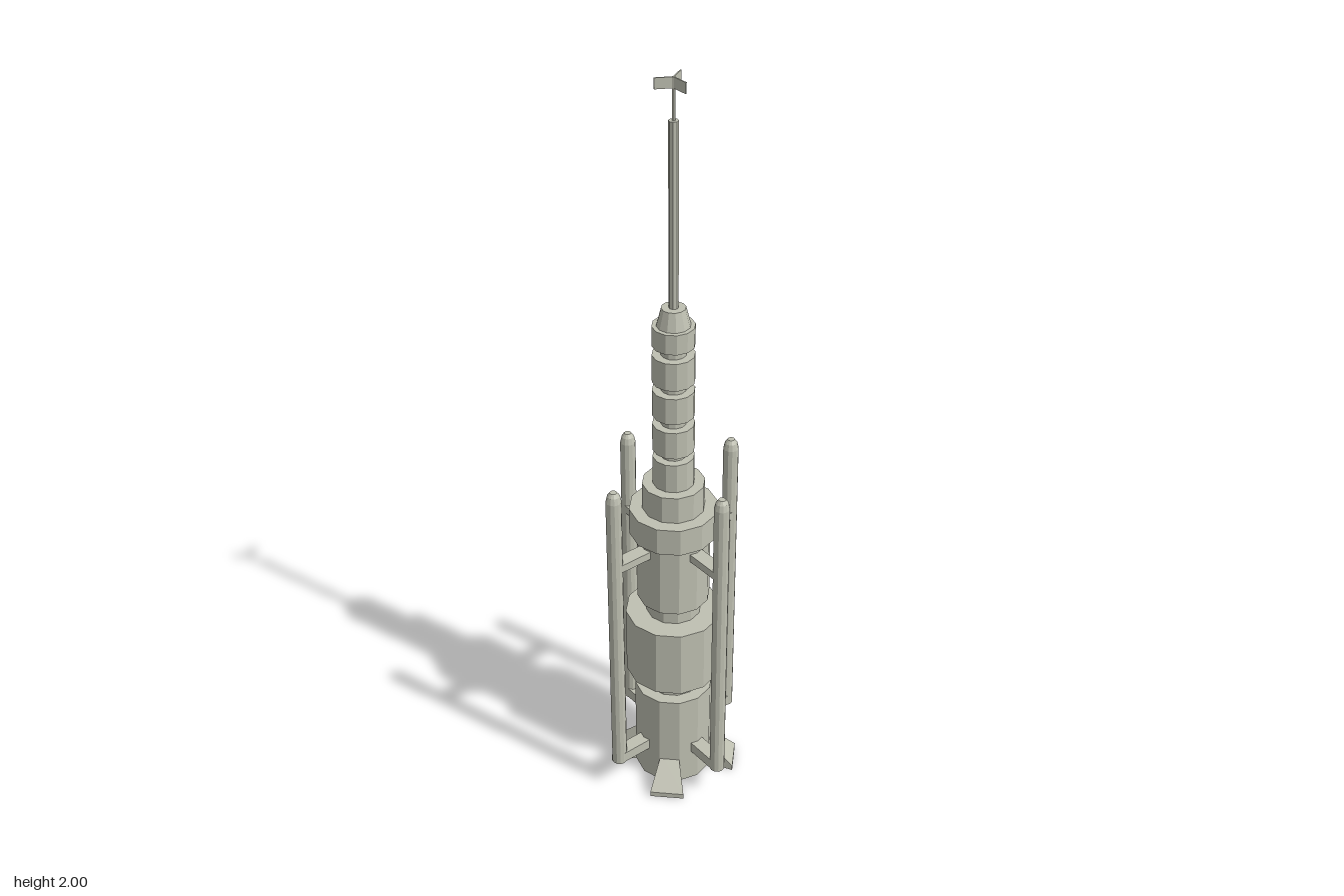
import * as THREE from 'three';

export function createModel() {
  const model = new THREE.Group();
  model.name = 'rocketTower';
  const hull = new THREE.MeshStandardMaterial({ color: 0xbfc0b2, flatShading: true });
  hull.name = 'paleHull';

  const add = (parent, geometry, name) => {
    const mesh = new THREE.Mesh(geometry, hull);
    mesh.name = name;
    parent.add(mesh);
    return mesh;
  };
  // Upright faceted drum between two heights
  const drum = (parent, name, y0, y1, rBottom, rTop = rBottom, sides = 12) => {
    const mesh = add(parent, new THREE.CylinderGeometry(rTop, rBottom, y1 - y0, sides), name);
    mesh.position.y = (y0 + y1) / 2;
    return mesh;
  };

  // Main body stages
  drum(model, 'baseStage', 0, 0.285, 0.105);
  drum(model, 'lowerNeck', 0.285, 0.34, 0.072);
  drum(model, 'middleStage', 0.34, 0.535, 0.127);
  drum(model, 'upperNeck', 0.535, 0.585, 0.072);
  drum(model, 'upperStage', 0.585, 0.79, 0.095);
  drum(model, 'collar', 0.79, 0.865, 0.114);
  drum(model, 'shoulder', 0.865, 0.94, 0.08);

  // Ringed spire
  drum(model, 'spireCore', 0.94, 1.385, 0.032);
  const rings = [[0.94, 1.02], [1.04, 1.115], [1.14, 1.212], [1.235, 1.31], [1.335, 1.388]];
  for (const [y0, y1] of rings) drum(model, 'spireRing', y0, y1, 0.053);
  drum(model, 'spireCap', 1.388, 1.435, 0.042, 0.03);

  // Mast and three-bladed vane
  drum(model, 'mast', 1.435, 1.9, 0.012, 0.012, 8);
  drum(model, 'mastTip', 1.9, 2, 0.004, 0.004, 6);
  for (let i = 0; i < 3; i++) {
    const blade = add(model, new THREE.BoxGeometry(0.043, 0.026, 0.003).translate(0.0215, 0, 0), 'vaneBlade');
    blade.position.y = 1.987;
    blade.rotation.y = (i * Math.PI * 2) / 3;
  }

  // Flared foot: a box tapered inwards with a sloping top
  const footGeometry = new THREE.BoxGeometry(1, 1, 1);
  const p = footGeometry.attributes.position;
  for (let i = 0; i < p.count; i++) {
    const outer = p.getX(i) > 0;
    const top = p.getY(i) > 0 ? (outer ? 0.015 : 0.088) : 0;
    p.setXYZ(i, outer ? 0.169 : 0.09, top, Math.sign(p.getZ(i)) * (outer ? 0.0455 : 0.0235));
  }
  footGeometry.computeVertexNormals();

  for (let i = 0; i < 4; i++) {
    const foot = add(model, footGeometry, 'foot');
    foot.rotation.y = Math.PI / 4 + (i * Math.PI) / 2;

    // Side tube with domed top, held by two struts
    const arm = new THREE.Group();
    arm.name = 'sideTube';
    arm.rotation.y = (i * Math.PI) / 2;
    const parts = [
      drum(arm, 'tube', 0.095, 0.96, 0.02),
      drum(arm, 'tubeShoulder', 0.96, 0.977, 0.02, 0.016),
      drum(arm, 'tubeTip', 0.977, 0.987, 0.016, 0.009),
    ];
    for (const part of parts) part.position.x = 0.188;
    for (const [y0, y1] of [[0.097, 0.128], [0.747, 0.769]]) {
      const strut = add(arm, new THREE.BoxGeometry(0.108, y1 - y0, 0.038), 'strut');
      strut.position.set(0.134, (y0 + y1) / 2, 0);
    }
    model.add(arm);
  }
  return model;
}
